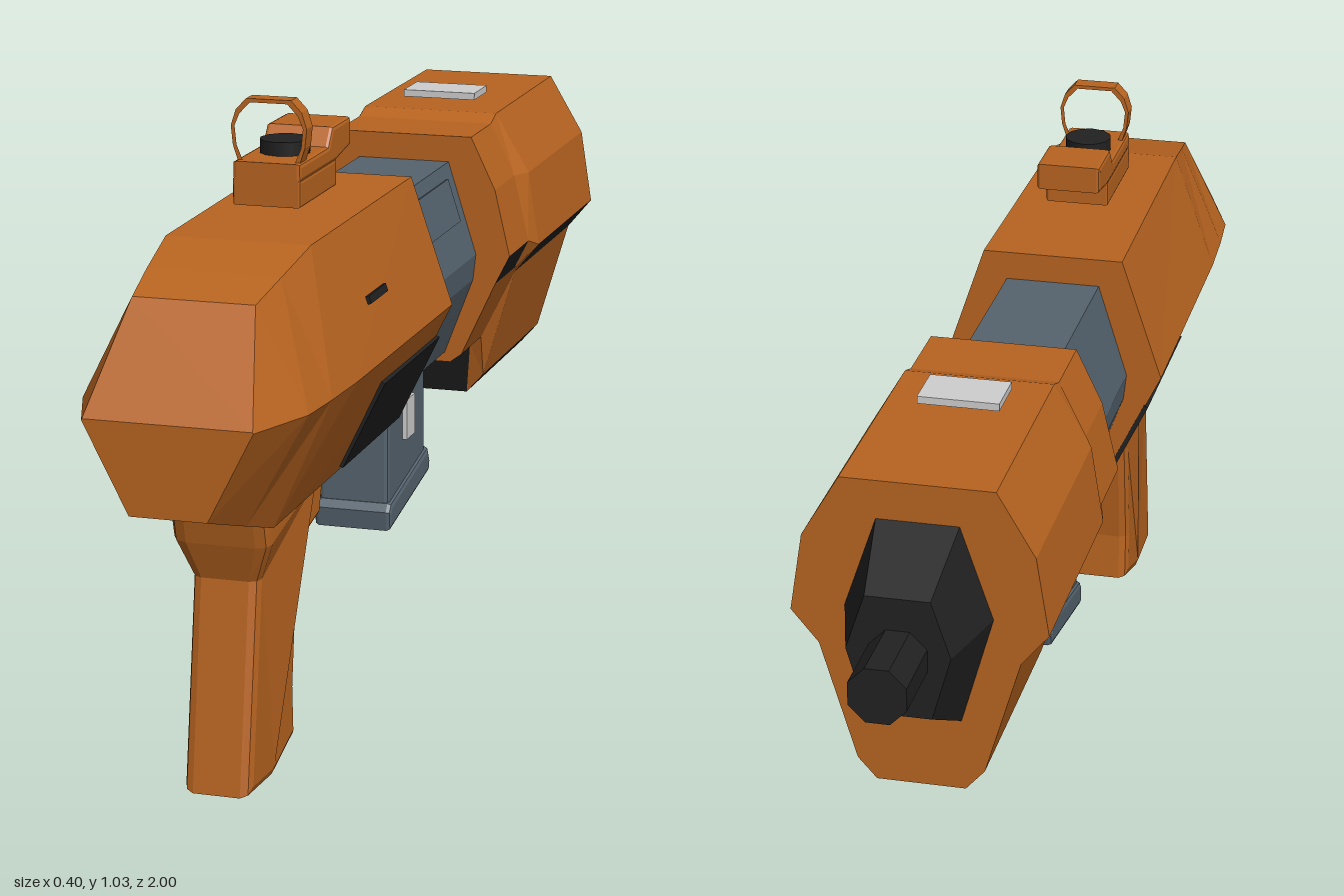
import * as THREE from 'three';

const mat = (name, color) => {
  const m = new THREE.MeshStandardMaterial({ color });
  m.name = name;
  return m;
};

export function createModel() {
  const orange = mat('orange', 0xb86420);
  const black = mat('black', 0x212121);
  const slate = mat('slate', 0x55636e);
  const white = mat('pale grey', 0xcfcfcf);
  const model = new THREE.Group();

  const add = (name, geo, material, x = 0, y = 0, z = 0) => {
    const mesh = new THREE.Mesh(geo, material);
    mesh.name = name;
    mesh.position.set(x, y, z);
    model.add(mesh);
    return mesh;
  };

  // Symmetric faceted hull: rings run back to front, each [z, right-half points from top to bottom].
  // blackSides lists the strips (by half-point index) that are black.
  const loft = (name, rings, material, blackSides = []) => {
    const half = rings[0][1].length, n = half * 2;
    const full = rings.map(([z, pts]) => [
      ...pts.map(([x, y]) => [x, y, z]),
      ...[...pts].reverse().map(([x, y]) => [-x, y, z]),
    ]);
    const buckets = [[], []];
    for (let k = 0; k < full.length - 1; k++) {
      for (let i = 0; i < n; i++) {
        const j = (i + 1) % n;
        const side = i < half ? i : n - 2 - i;
        const [a, b, c, d] = [full[k][i], full[k][j], full[k + 1][j], full[k + 1][i]];
        buckets[blackSides.includes(side) ? 1 : 0].push(a, d, c, a, c, b);
      }
    }
    // end caps, fanned from the middle
    const cap = (ring, flip) => {
      const mid = [0, ring.reduce((s, p) => s + p[1], 0) / n, ring[0][2]];
      ring.forEach((p, i) => {
        const q = ring[(i + 1) % n];
        buckets[0].push(mid, ...(flip ? [q, p] : [p, q]));
      });
    };
    cap(full[0], false);
    cap(full[full.length - 1], true);
    const geo = new THREE.BufferGeometry();
    geo.setAttribute('position', new THREE.Float32BufferAttribute(buckets.flat(2), 3));
    geo.addGroup(0, buckets[0].length, 0);
    geo.addGroup(buckets[0].length, buckets[1].length, 1);
    geo.computeVertexNormals();
    return add(name, geo, [material, black]);
  };

  // Side profile in (z, y), extruded across x with a chamfer.
  const toShape = (pts) => new THREE.Shape(pts.map((p) => new THREE.Vector2(...p)));
  const profile = (pts, width, bevel, hole) => {
    const shape = toShape(pts);
    if (hole) shape.holes.push(toShape(hole));
    const geo = new THREE.ExtrudeGeometry(shape, {
      depth: width - 2 * bevel, bevelEnabled: bevel > 0, bevelSize: bevel,
      bevelThickness: bevel, bevelOffset: -bevel, bevelSegments: 2,
    });
    geo.translate(0, 0, bevel - width / 2);
    return geo.rotateY(-Math.PI / 2);
  };

  // Thin plate lying on a sloping side, from point p to point q, between two z values.
  const plate = (name, [x1, y1], [x2, y2], z1, z2, material) => {
    const geo = new THREE.BoxGeometry(Math.hypot(x2 - x1, y2 - y1), 0.008, z2 - z1);
    const mesh = add(name, geo, material, (x1 + x2) / 2, (y1 + y2) / 2, (z1 + z2) / 2);
    mesh.rotation.z = Math.atan2(y2 - y1, x2 - x1);
  };

  // Main body with a faceted nose
  loft('body', [
    [0.165, [[0.12, 0.853], [0.19, 0.645], [0.09, 0.44]]],
    [0.68, [[0.115, 0.85], [0.187, 0.645], [0.09, 0.44]]],
    [0.79, [[0.105, 0.825], [0.182, 0.645], [0.09, 0.44]]],
    [0.88, [[0.095, 0.803], [0.175, 0.645], [0.078, 0.468]]],
    [1.0, [[0.13, 0.647], [0.131, 0.645], [0.06, 0.506]]],
  ], orange);
  for (const s of [1, -1]) {
    plate('bodySidePanel', [s * 0.165, 0.59], [s * 0.096, 0.448], 0.163, 0.475, black);
  }
  plate('bodySlot', [0.157, 0.741], [0.161, 0.729], 0.445, 0.535, black);

  // Middle receiver
  loft('receiver', [-0.23, 0.19].map((z) =>
    [z, [[0.08, 0.805], [0.13, 0.645], [0.125, 0.6], [0.075, 0.467]]]), slate);
  plate('receiverCover', [0.087, 0.782], [0.11, 0.71], -0.16, 0.13, slate);

  // Fore-end: collar, sloped step and barrel housing
  const collar = [[0.12, 0.85], [0.163, 0.76], [0.19, 0.645], [0.165, 0.595], [0.105, 0.465], [0.085, 0.45]];
  const housing = [[0.12, 0.862], [0.18, 0.76], [0.2, 0.632], [0.157, 0.58], [0.1, 0.387], [0.07, 0.353]];
  loft('collar', [[-0.33, collar], [-0.2, collar]], orange, [2, 5]);
  loft('collarStep', [[-0.365, housing], [-0.33, collar]], orange, [5]);
  loft('barrelHousing', [[-0.757, housing], [-0.365, housing]], orange, [2, 4, 5]);
  add('topPlate', new THREE.BoxGeometry(0.13, 0.012, 0.084), white, 0, 0.879, -0.462);

  // Tapered muzzle block and muzzle
  loft('muzzleBlock', [
    [-0.88, [[0.05, 0.735], [0.08, 0.645], [0.05, 0.54]]],
    [-0.75, [[0.065, 0.803], [0.117, 0.65], [0.065, 0.467]]],
  ], black);
  const muzzle = new THREE.CylinderGeometry(0.048, 0.048, 0.13, 8).toNonIndexed();
  muzzle.rotateY(Math.PI / 8).rotateX(Math.PI / 2).computeVertexNormals();
  add('muzzle', muzzle, black, 0, 0.638, -0.935);

  // Grip, flaring where it meets the body
  const grip = profile([
    [0.79, 0.46], [0.775, 0.4], [0.755, 0.34], [0.805, 0.01], [0.685, 0.003], [0.575, 0.035],
    [0.58, 0.12], [0.555, 0.31], [0.53, 0.46],
  ], 0.108, 0.016);
  const gp = grip.attributes.position;
  for (let i = 0; i < gp.count; i++) {
    if (gp.getY(i) > 0.37) gp.setX(i, gp.getX(i) * 1.45);
  }
  grip.computeVertexNormals();
  add('grip', grip, orange);

  // Trigger guard with its underside fairing
  add('triggerGuard', profile(
    [[0.57, 0.31], [0.39, 0.343], [0.365, 0.42], [0.165, 0.438], [0.165, 0.46], [0.57, 0.46]],
    0.07, 0.006,
    [[0.55, 0.34], [0.43, 0.365], [0.41, 0.42], [0.435, 0.44], [0.54, 0.44]],
  ), orange);

  // Magazine, base and side buttons
  add('magazine', profile(
    [[0.095, 0.5], [0.095, 0.25], [-0.125, 0.29], [-0.125, 0.5]], 0.122, 0.008), slate);
  add('magazineBase', profile(
    [[0.096, 0.275], [0.106, 0.262], [0.102, 0.229], [-0.135, 0.27], [-0.14, 0.29], [-0.127, 0.315]],
    0.135, 0.008), slate);
  for (const s of [1, -1]) {
    add('magazineButton', new THREE.BoxGeometry(0.01, 0.07, 0.048), white, s * 0.064, 0.4, -0.012);
  }

  // Sight: base, stepped top, dial and window frame
  add('sightBase', profile(
    [[0.545, 0.874], [0.545, 0.916], [0.36, 0.916], [0.36, 0.874]], 0.11, 0.004), orange);
  add('sightTop', profile(
    [[0.545, 0.914], [0.545, 0.942], [0.4, 0.942], [0.378, 0.97], [0.285, 0.97], [0.285, 0.925], [0.36, 0.914]],
    0.11, 0.006), orange);
  add('sightDial', new THREE.CylinderGeometry(0.04, 0.04, 0.025, 12), black, 0, 0.951, 0.452);
  const frame = (t) => {
    const right = [[0.036, 1.038], [0.053, 1.02], [0.061, 0.995], [0.058, 0.965], [0.048, 0.935]]
      .map(([x, y]) => [x - t, y - (y > 1 ? t : 0)]);
    return toShape([...right, ...right.map(([x, y]) => [-x, y]).reverse()]);
  };
  const window = frame(0);
  const opening = frame(0.006);
  opening.autoClose = true;
  window.holes.push(new THREE.Path(opening.getPoints().map((p) => new THREE.Vector2(p.x, Math.max(p.y, 0.941)))));
  add('sightFrame', new THREE.ExtrudeGeometry(window, { depth: 0.03, bevelEnabled: false }), orange, 0, 0, 0.502);

  return model;
}
